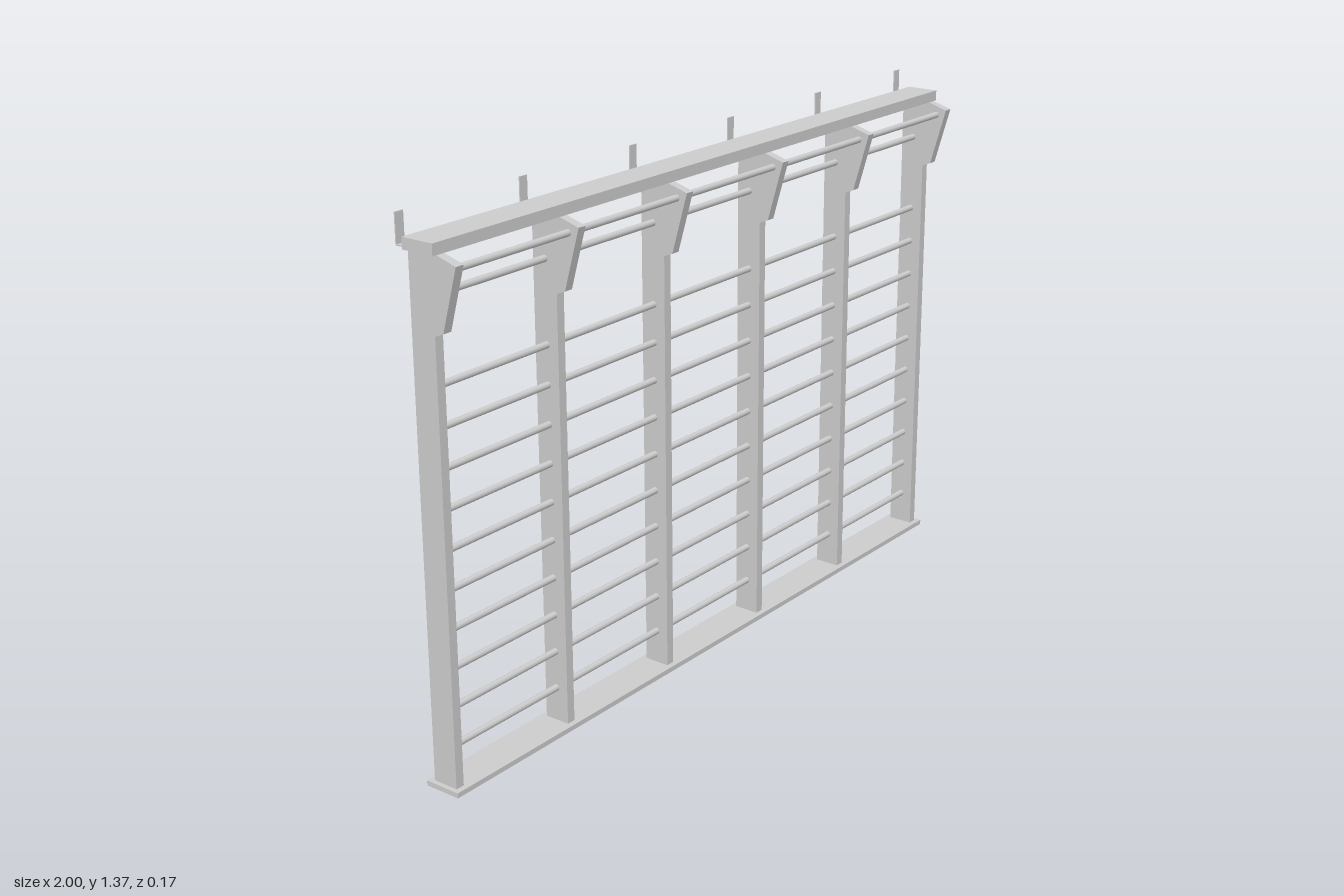
import * as THREE from 'three';

export function createModel() {
  const model = new THREE.Group();
  const material = new THREE.MeshStandardMaterial({ color: 0xcccccc });
  const add = (name, geometry, x, y, z) => {
    const mesh = new THREE.Mesh(geometry, material);
    mesh.name = name;
    mesh.position.set(x, y, z);
    model.add(mesh);
    return mesh;
  };
  // Box given by its centre x, width, and ranges in y and z
  const box = (name, x, w, y0, y1, z0, z1) =>
    add(name, new THREE.BoxGeometry(w, y1 - y0, z1 - z0), x, (y0 + y1) / 2, (z0 + z1) / 2);

  // Floor plate and top beam
  box('basePlate', 0, 2, 0, 0.013, -0.065, 0.033);
  box('topBeam', 0, 2, 1.292, 1.32, -0.056, 0.033);

  // Upright side profile with the forward horn; shape x is model z
  const postWidth = 0.024;
  const profile = new THREE.Shape([
    [-0.051, 0.013], [0.018, 0.013], [0.018, 1.11], [0.043, 1.12],
    [0.088, 1.276], [0.033, 1.292], [-0.051, 1.292],
  ].map(([z, y]) => new THREE.Vector2(z, y)));
  const postGeometry = new THREE.ExtrudeGeometry(profile, { depth: postWidth, bevelEnabled: false });
  postGeometry.translate(0, 0, -postWidth / 2);
  postGeometry.rotateY(-Math.PI / 2);

  // Six uprights, each with an angled wall bracket behind the beam
  const spacing = 0.3905;
  for (let i = 0; i < 6; i++) {
    const x = (i - 2.5) * spacing;
    add('upright', postGeometry, x, 0, 0);
    box('bracketFoot', x, 0.025, 1.293, 1.296, -0.087, -0.05);
    box('wallBracket', x, 0.025, 1.293, 1.367, -0.087, -0.084);
  }

  // Round rungs spanning all bays
  const rungGeometry = new THREE.CylinderGeometry(0.0085, 0.0085, 5 * spacing, 20);
  rungGeometry.rotateZ(Math.PI / 2);
  for (let i = 0; i < 10; i++) add('rung', rungGeometry, 0, 0.102 + i * 0.0978, -0.016);
  add('upperRung', rungGeometry, 0, 1.188, -0.016);
  add('frontRung', rungGeometry, 0, 1.26, 0.057);

  return model;
}
